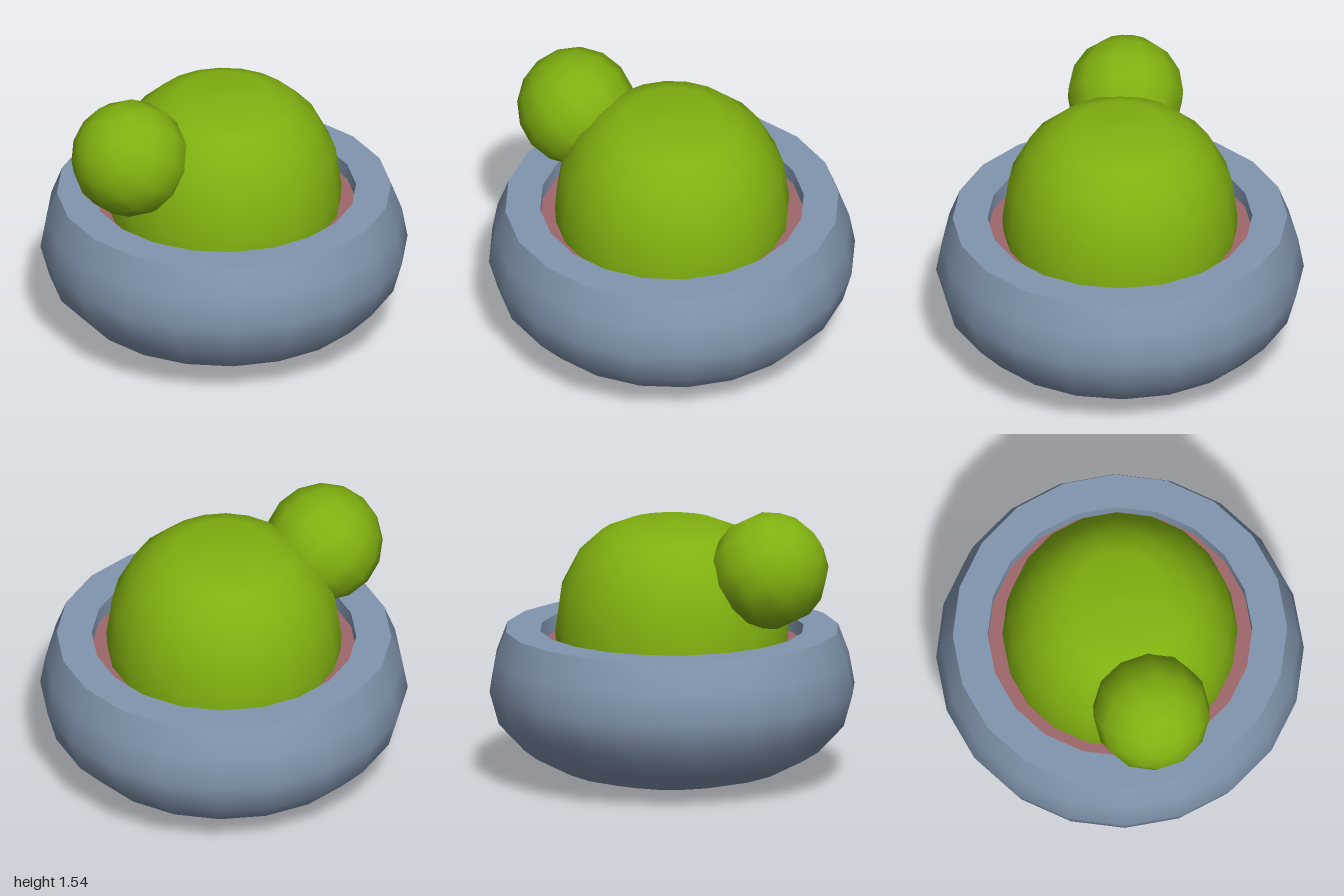
import * as THREE from 'three';

const SIDES = 20;
const TURN = THREE.MathUtils.degToRad(2.8);

export function createModel() {
  const model = new THREE.Group();
  const glaze = new THREE.MeshStandardMaterial({ color: 0x8296af });
  glaze.name = 'blue grey glaze';
  const earth = new THREE.MeshStandardMaterial({ color: 0x9e686b });
  earth.name = 'reddish soil';
  const green = new THREE.MeshStandardMaterial({ color: 0x80b010 });
  green.name = 'plant green';

  // Turned part from [radius, height] pairs
  function turned(name, profile, material) {
    const points = profile.map(([r, y]) => new THREE.Vector2(r, y));
    const mesh = new THREE.Mesh(new THREE.LatheGeometry(points, SIDES, TURN), material);
    mesh.name = name;
    model.add(mesh);
  }

  // Pot: rounded body, flat rim, short inner wall
  turned('potBody', [
    [0, 0], [0.21, 0.004], [0.41, 0.015], [0.61, 0.065], [0.81, 0.17],
    [0.95, 0.32], [1, 0.5], [0.97, 0.67], [0.91, 0.83],
  ], glaze);
  turned('potRim', [[0.91, 0.83], [0.72, 0.83]], glaze);
  turned('potInnerWall', [[0.72, 0.83], [0.72, 0.74]], glaze);
  turned('soil', [[0.72, 0.74], [0, 0.74]], earth);

  // Main round stem, rising out of the soil
  turned('plantBody', [
    [0.63, 0.7], [0.64, 0.83], [0.608, 1.06], [0.51, 1.25],
    [0.385, 1.365], [0.25, 1.42], [0, 1.427],
  ], green);

  // Side bud, leaning outwards to the back right
  const bud = new THREE.Mesh(new THREE.SphereGeometry(0.322, 12, 8), green);
  bud.name = 'sideBud';
  bud.position.set(-0.595, 1.22, -0.205);
  bud.quaternion.setFromUnitVectors(
    new THREE.Vector3(0, 1, 0),
    new THREE.Vector3(-0.6, 0.5, -0.2).normalize(),
  );
  model.add(bud);

  return model;
}
